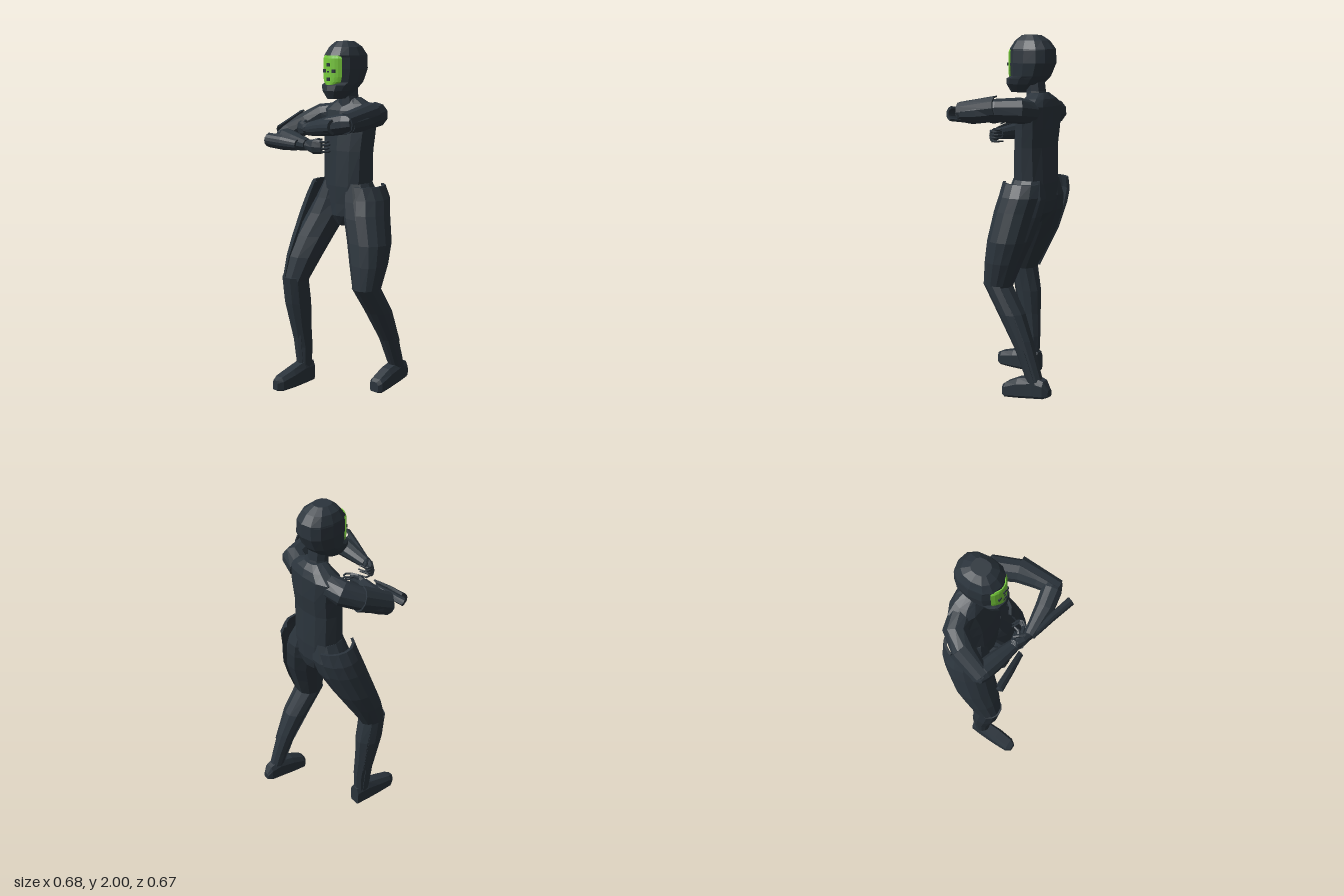
import * as THREE from 'three';

const suit = new THREE.MeshStandardMaterial({ color: 0x2b343c });
suit.name = 'dark suit';
const glow = new THREE.MeshStandardMaterial({ color: 0x78cc3c });
glow.name = 'green visor';

const DOWN = [0, -1, 0], FORWARD = [0, 0, 1], SIDE = [1, 0, 0], UP = [0, 1, 0];
const rad = THREE.MathUtils.degToRad;

// Cross-sections as unit points: a polygon (squarer for low power), a chamfered box, or a thin open shell
const soft = (v, power) => Math.sign(v) * Math.abs(v) ** power;
const round = (n, power = 1) => Array.from({ length: n }, (_, i) => {
  const a = i / n * 2 * Math.PI;
  return [soft(Math.cos(a), power), soft(Math.sin(a), power)];
});
const boxy = [[1, -0.75], [1, 0.45], [0.6, 1], [-0.6, 1], [-1, 0.45], [-1, -0.75], [-0.8, -1], [0.8, -1]];
function shell(from, to, inner = 0.87, n = 6) {
  const arc = Array.from({ length: n + 1 }, (_, i) => {
    const a = rad(from + (to - from) * i / n);
    return [Math.cos(a), Math.sin(a)];
  });
  return [...arc, ...arc.slice().reverse().map(([c, s]) => [c * inner, s * inner])];
}

// Faceted loft through rings [x, y, z, radiusU, radiusV]; fixed axis or following the path
function loft(rings, section, uRef, axis) {
  const centre = (i) => new THREE.Vector3(...rings[i].slice(0, 3));
  const n = section.length, last = rings.length - 1, pos = [];
  const pts = rings.map((r, i) => {
    const t = axis ? new THREE.Vector3(...axis)
      : centre(Math.min(i + 1, last)).sub(centre(Math.max(i - 1, 0))).normalize();
    const u = new THREE.Vector3(...uRef);
    u.addScaledVector(t, -u.dot(t)).normalize();
    const v = t.clone().cross(u);
    return section.map(([c, s]) => centre(i).addScaledVector(u, c * r[3]).addScaledVector(v, s * (r[4] ?? r[3])));
  });
  const quad = (a, b, c, d) => [a, b, c, a, c, d].forEach((p) => pos.push(p.x, p.y, p.z));
  for (let i = 0; i < last; i++)
    for (let j = 0; j < n; j++) {
      const k = (j + 1) % n;
      quad(pts[i][j], pts[i][k], pts[i + 1][k], pts[i + 1][j]);
    }
  for (let k = 0; k < n / 2 - 1; k++) {
    const s = pts[0], e = pts[last];
    quad(s[n - 1 - k], s[n - 2 - k], s[k + 1], s[k]);
    quad(e[k], e[k + 1], e[n - 2 - k], e[n - 1 - k]);
  }
  const g = new THREE.BufferGeometry();
  g.setAttribute('position', new THREE.Float32BufferAttribute(pos, 3));
  g.computeVertexNormals();
  return g;
}

export function createModel() {
  const model = new THREE.Group();
  model.name = 'armouredFigure';
  const add = (name, geometry, material = suit) => {
    const m = new THREE.Mesh(geometry, material);
    m.name = name;
    model.add(m);
    return m;
  };

  // Helmet: crown, brow, recessed face, jaw guard
  add('helmet', loft([
    [0.01, 2.0, -0.07, 0.045, 0.05], [0.01, 1.97, -0.075, 0.08, 0.093],
    [0.01, 1.925, -0.077, 0.1, 0.126], [0.01, 1.915, -0.08, 0.102, 0.123],
    [0.01, 1.85, -0.08, 0.106, 0.124], [0.01, 1.78, -0.065, 0.095, 0.108],
    [0.01, 1.765, -0.045, 0.09, 0.117], [0.01, 1.735, -0.025, 0.077, 0.102],
    [0.01, 1.69, 0.0, 0.04, 0.055]], round(12, 0.8), SIDE, DOWN));
  // Visor with small dark marks
  add('visor', loft([
    [0.01, 1.925, -0.05, 0.082, 0.11], [0.01, 1.91, -0.05, 0.098, 0.113],
    [0.01, 1.81, -0.05, 0.098, 0.115], [0.01, 1.785, -0.05, 0.09, 0.116], [0.01, 1.765, -0.05, 0.066, 0.117]],
    shell(45, 135, 0.95, 8), SIDE, DOWN), glow);
  [[0.01, 1.875], [-0.022, 1.842], [0.042, 1.842], [0.01, 1.838], [0.01, 1.798]].forEach(([x, y], i) => {
    const size = i === 3 ? 0.012 : 0.022;
    const mark = add('visorMark', new THREE.BoxGeometry(size, size * 0.8, 0.008));
    mark.position.set(x, y, x === 0.01 ? 0.063 : 0.058);
  });

  // Neck, torso and pelvis
  add('neck', loft([[0.01, 1.77, -0.09, 0.055], [0.01, 1.7, -0.1, 0.054], [0.01, 1.6, -0.115, 0.07]], round(8), SIDE, DOWN));
  add('torso', loft([
    [0.01, 1.69, -0.12, 0.06, 0.05], [0.01, 1.66, -0.125, 0.12, 0.068],
    [0.005, 1.62, -0.12, 0.18, 0.088], [0.01, 1.5, -0.11, 0.163, 0.1],
    [0.01, 1.4, -0.1, 0.155, 0.1], [0.01, 1.2, -0.1, 0.148, 0.108],
    [0.01, 1.1, -0.1, 0.135, 0.105], [0.01, 1.03, -0.09, 0.09, 0.095],
    [0.01, 0.97, -0.08, 0.03, 0.05]], round(12, 0.85), SIDE, DOWN));

  // Legs: the right one steps forward, the left one trails
  const legs = {
    left: {
      leg: [[0.09, 1.22, -0.1, 0.07, 0.09], [0.115, 1.12, -0.1, 0.1, 0.115], [0.145, 1.03, -0.085, 0.115, 0.12],
        [0.19, 0.9, -0.06, 0.113, 0.115], [0.217, 0.78, -0.03, 0.1, 0.1], [0.238, 0.64, 0, 0.075, 0.08],
        [0.247, 0.5, -0.093, 0.068, 0.076], [0.255, 0.36, -0.165, 0.055, 0.06], [0.26, 0.22, -0.22, 0.044, 0.05],
        [0.26, 0.11, -0.26, 0.038, 0.045]],
      thigh: [[0.13, 1.21, -0.1, 0.115, 0.125], [0.15, 1.14, -0.1, 0.13, 0.132], [0.165, 1.06, -0.08, 0.134, 0.132],
        [0.21, 0.9, -0.055, 0.127, 0.125], [0.235, 0.78, -0.03, 0.102, 0.107], [0.245, 0.65, 0, 0.075, 0.085]],
      shin: [[0.24, 0.65, 0, 0.08, 0.087], [0.25, 0.5, -0.093, 0.076, 0.082], [0.258, 0.3, -0.19, 0.054, 0.06]],
      ankle: [[0.258, 0.32, -0.182, 0.056, 0.063], [0.26, 0.12, -0.256, 0.043, 0.05]],
      foot: [[0.255, 0.082, -0.338, 0.02, 0.02], [0.258, 0.1, -0.31, 0.036, 0.048], [0.26, 0.105, -0.25, 0.042, 0.06],
        [0.26, 0.085, -0.15, 0.045, 0.055], [0.26, 0.06, -0.07, 0.045, 0.04], [0.26, 0.055, -0.05, 0.03, 0.03]],
      plates: [[-70, 75], [-35, 140], [-20, 125]],
    },
    right: {
      leg: [[-0.07, 1.22, -0.1, 0.07, 0.09], [-0.092, 1.12, -0.095, 0.1, 0.112], [-0.12, 1.03, -0.07, 0.115, 0.115],
        [-0.165, 0.9, -0.01, 0.113, 0.11], [-0.188, 0.78, 0.05, 0.098, 0.1], [-0.207, 0.64, 0.11, 0.073, 0.075],
        [-0.21, 0.5, 0.085, 0.066, 0.08], [-0.208, 0.36, 0.07, 0.056, 0.066], [-0.2, 0.22, 0.05, 0.044, 0.05],
        [-0.2, 0.08, 0.05, 0.037, 0.045]],
      thigh: [[-0.11, 1.21, -0.1, 0.115, 0.125], [-0.13, 1.14, -0.09, 0.13, 0.13], [-0.145, 1.06, -0.065, 0.135, 0.13],
        [-0.175, 0.9, -0.005, 0.127, 0.12], [-0.195, 0.78, 0.05, 0.105, 0.105], [-0.21, 0.65, 0.1, 0.078, 0.085]],
      shin: [[-0.21, 0.66, 0.108, 0.077, 0.083], [-0.213, 0.5, 0.085, 0.074, 0.085], [-0.208, 0.28, 0.058, 0.053, 0.06]],
      ankle: [[-0.206, 0.3, 0.058, 0.056, 0.062], [-0.2, 0.1, 0.05, 0.042, 0.05]],
      foot: [[-0.2, 0.06, 0, 0.035, 0.06], [-0.2, 0.065, 0.08, 0.042, 0.065], [-0.2, 0.053, 0.17, 0.045, 0.053],
        [-0.203, 0.04, 0.26, 0.04, 0.04], [-0.205, 0.036, 0.29, 0.02, 0.03]],
      plates: [[105, 250], [40, 215], [55, 200]],
    },
  };
  for (const [side, d] of Object.entries(legs)) {
    add(side + 'Leg', loft(d.leg, round(10), SIDE, DOWN));
    ['thigh', 'shin', 'ankle'].forEach((part, i) =>
      add(`${side}${part[0].toUpperCase()}${part.slice(1)}Plate`, loft(d[part], shell(...d.plates[i]), SIDE, DOWN)));
    add(side + 'Foot', loft(d.foot, boxy, SIDE, FORWARD));
  }

  // Arms: bent across the chest, with shells on the outer faces
  const arms = {
    left: {
      outer: 270,
      upper: [[0.12, 1.59, -0.13, 0.065], [0.2, 1.605, -0.11, 0.07], [0.25, 1.605, 0, 0.062],
        [0.275, 1.59, 0.1, 0.056], [0.285, 1.58, 0.2, 0.044]],
      fore: [[0.305, 1.59, 0.185, 0.045], [0.26, 1.585, 0.195, 0.055], [0.16, 1.565, 0.215, 0.052], [0, 1.54, 0.225, 0.032]],
      upperPlate: [[0.258, 1.622, -0.01, 0.064, 0.066], [0.275, 1.588, 0.22, 0.056, 0.053]],
      forePlate: [[0.27, 1.575, 0.275, 0.045, 0.058], [0.15, 1.56, 0.245, 0.048, 0.05], [0.03, 1.54, 0.225, 0.036, 0.036]],
      hand: [[0.01, 1.54, 0.225, 0.028, 0.024], [-0.04, 1.54, 0.215, 0.042, 0.022], [-0.08, 1.54, 0.195, 0.036, 0.016]],
      finger: [[-0.075, 1.54, 0.195, 0.007], [-0.075, 1.535, 0.165, 0.006], [-0.02, 1.53, 0.152, 0.004]],
      thumb: [[-0.02, 1.57, 0.21, 0.013], [-0.045, 1.575, 0.185, 0.01], [-0.06, 1.57, 0.165, 0.006]],
    },
    right: {
      outer: 90,
      upper: [[-0.1, 1.59, -0.12, 0.065], [-0.19, 1.575, -0.1, 0.07], [-0.25, 1.53, -0.01, 0.064],
        [-0.283, 1.48, 0.08, 0.056], [-0.298, 1.455, 0.13, 0.044]],
      fore: [[-0.315, 1.465, 0.105, 0.045], [-0.27, 1.46, 0.115, 0.055], [-0.17, 1.45, 0.14, 0.05], [-0.04, 1.445, 0.175, 0.032]],
      upperPlate: [[-0.252, 1.545, -0.035, 0.073, 0.066], [-0.29, 1.475, 0.125, 0.06, 0.057]],
      forePlate: [[-0.3, 1.455, 0.2, 0.045, 0.06], [-0.19, 1.45, 0.2, 0.046, 0.052], [-0.08, 1.445, 0.2, 0.035, 0.04]],
      hand: [[-0.05, 1.445, 0.175, 0.028, 0.024], [0.01, 1.44, 0.18, 0.04, 0.022], [0.055, 1.44, 0.165, 0.036, 0.015]],
      finger: [[0.05, 1.44, 0.165, 0.007], [0.075, 1.44, 0.135, 0.006], [0.07, 1.44, 0.115, 0.005], [0.035, 1.44, 0.1, 0.004]],
      thumb: [[-0.005, 1.465, 0.17, 0.013], [0.015, 1.475, 0.15, 0.01], [0.02, 1.475, 0.125, 0.006]],
    },
  };
  for (const [side, d] of Object.entries(arms)) {
    add(side + 'UpperArm', loft(d.upper, round(10), UP));
    add(side + 'Forearm', loft(d.fore, round(10), UP));
    add(side + 'UpperArmPlate', loft(d.upperPlate, shell(d.outer - 100, d.outer + 100), UP));
    add(side + 'ForearmPlate', loft(d.forePlate, shell(d.outer - 65, d.outer + 65, 0.7), UP));
    add(side + 'Hand', loft(d.hand, round(8), UP));
    add(side + 'Thumb', loft(d.thumb, round(6), UP));
    for (let i = 0; i < 4; i++) {
      const finger = add(side + 'Finger', loft(d.finger, round(6), UP));
      finger.position.set(0, (i - 1.5) * 0.018, (i % 2) * 0.01);
    }
  }
  return model;
}
